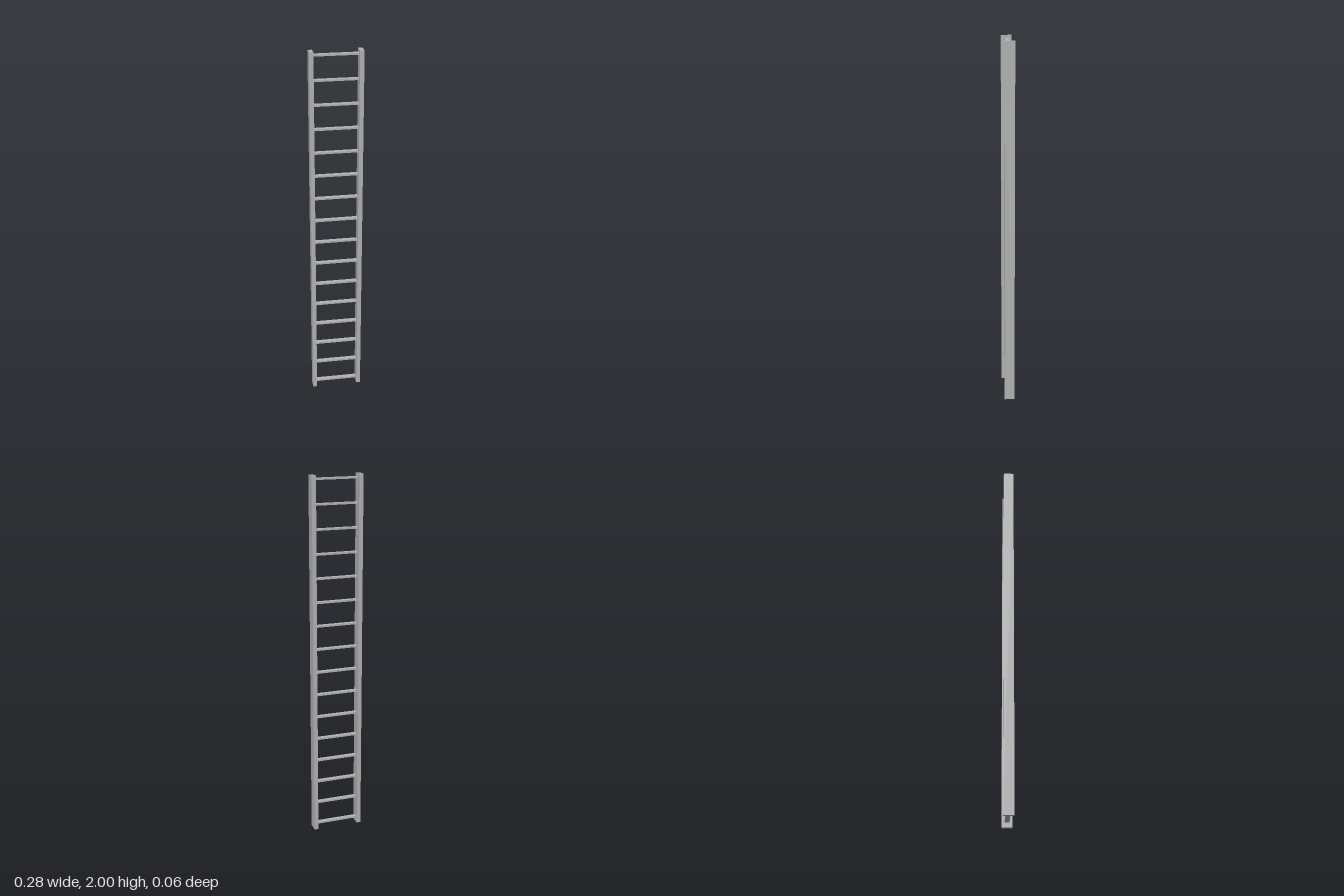
import * as THREE from 'three';

export function createModel() {
  const ladder = new THREE.Group();
  ladder.name = 'ladder';
  const metal = new THREE.MeshStandardMaterial({ color: 0xb2b2b2 });
  metal.name = 'grey metal';

  const addBox = (name, size, position) => {
    const mesh = new THREE.Mesh(new THREE.BoxGeometry(...size), metal);
    mesh.name = name;
    mesh.position.set(...position);
    ladder.add(mesh);
  };

  // Two upright side rails
  const railWidth = 0.023, outer = 0.14;
  for (const side of [-1, 1]) {
    addBox(side > 0 ? 'leftRail' : 'rightRail',
      [railWidth, 2, 0.056], [side * (outer - railWidth / 2), 1, 0]);
  }

  // Sixteen flat rungs, evenly spaced between the rails
  const rungLength = 2 * (outer - railWidth);
  for (let i = 0; i < 16; i++) {
    addBox(`rung${i + 1}`, [rungLength, 0.01, 0.024], [0, 0.03 + i * 0.13, 0]);
  }
  return ladder;
}
